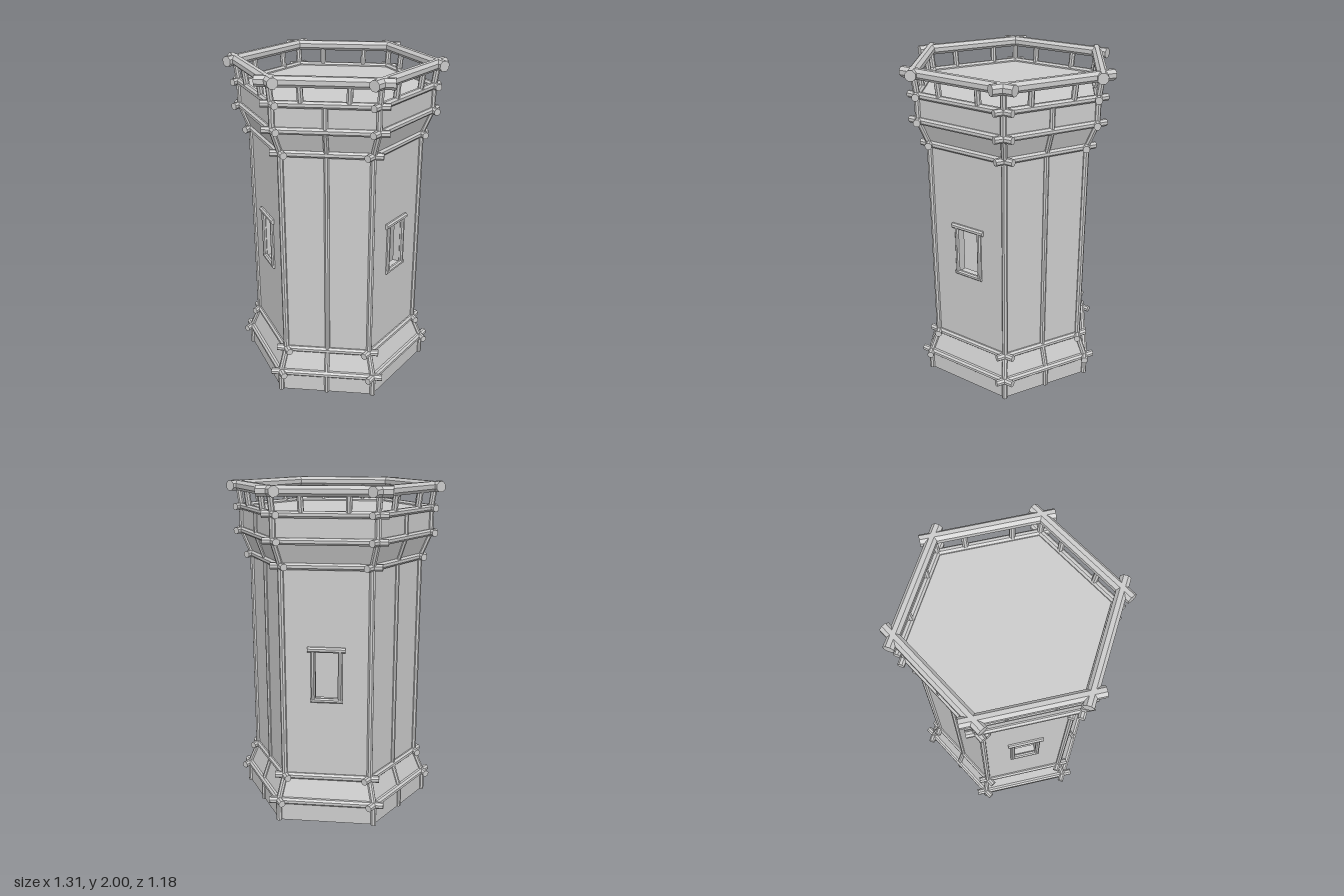
import * as THREE from 'three';

const mat = new THREE.MeshStandardMaterial({ color: 0xcccccc, flatShading: true });
const COS30 = Math.cos(Math.PI / 6);

// [height, corner radius] of each tier of the tower
const PROFILE = [[0, 0.575], [0.13, 0.575], [0.275, 0.515], [1.555, 0.515], [1.70, 0.575], [1.845, 0.575], [1.97, 0.592]];
const WALL_T = 0.05;

function add(parent, geometry, name) {
  const mesh = new THREE.Mesh(geometry, mat);
  mesh.name = name;
  parent.add(mesh);
  return mesh;
}

// Eight-sided timber running from a to b
function beam(parent, a, b, r, name) {
  const dir = b.clone().sub(a);
  const g = new THREE.CylinderGeometry(r, r, dir.length(), 8);
  g.rotateY(Math.PI / 8);
  const mesh = add(parent, g, name);
  mesh.position.copy(a).add(b).multiplyScalar(0.5);
  mesh.quaternion.setFromUnitVectors(new THREE.Vector3(0, 1, 0), dir.normalize());
}

// Point on a side's outer face; u runs from -1 to 1 between its corners
const onSide = ([y, R], u) => new THREE.Vector3(u * R / 2, y, R * COS30);

// Solid hexagonal tier between two profile rows
function tier(parent, [y0, r0], [y1, r1], name) {
  const g = new THREE.CylinderGeometry(r1, r0, y1 - y0, 6);
  g.rotateY(Math.PI / 6);
  add(parent, g, name).position.y = (y0 + y1) / 2;
}

// Shaft wall panel, optionally pierced by a window
function wall(side, hasWindow) {
  const [y0, R] = PROFILE[2], y1 = PROFILE[3][0], w = R / 2;
  const shape = new THREE.Shape([[-w, y0], [w, y0], [w, y1], [-w, y1]].map(p => new THREE.Vector2(...p)));
  if (hasWindow) {
    shape.holes.push(new THREE.Path([[-0.07, 0.77], [-0.07, 1.07], [0.07, 1.07], [0.07, 0.77]].map(p => new THREE.Vector2(...p))));
  }
  const g = new THREE.ExtrudeGeometry(shape, { depth: WALL_T, bevelEnabled: false });
  add(side, g, 'shaftWall').position.z = R * COS30 - WALL_T;
}

// Timber window frame
function windowFrame(side) {
  const frame = new THREE.Group();
  frame.name = 'windowFrame';
  frame.position.z = PROFILE[2][1] * COS30 + 0.003;
  const v = (x, y) => new THREE.Vector3(x, y, 0);
  for (const s of [-1, 1]) beam(frame, v(s * 0.079, 0.765), v(s * 0.079, 1.075), 0.014, 'windowJamb');
  beam(frame, v(-0.11, 1.075), v(0.11, 1.075), 0.017, 'windowLintel');
  beam(frame, v(-0.094, 0.767), v(0.094, 0.767), 0.015, 'windowSill');
  side.add(frame);
}

export function createModel() {
  const tower = new THREE.Group();
  tower.name = 'tower';
  const body = new THREE.Group();
  body.name = 'body';
  body.position.z = 0.01;
  tower.add(body);

  tier(body, PROFILE[0], PROFILE[1], 'plinth');
  tier(body, PROFILE[1], PROFILE[2], 'taperedFoot');
  tier(body, PROFILE[3], PROFILE[4], 'flaredCollar');
  tier(body, PROFILE[4], PROFILE[5], 'topDeck');

  for (let i = 0; i < 6; i++) {
    const side = new THREE.Group();
    side.name = 'side';
    side.rotation.y = i * Math.PI / 3;
    body.add(side);

    // Windows and middle posts alternate around the tower
    const hasWindow = i % 2 === 0;
    wall(side, hasWindow);
    if (hasWindow) windowFrame(side);

    // Posts follow the tiers
    for (let k = 0; k < PROFILE.length - 1; k++) {
      const a = PROFILE[k], b = PROFILE[k + 1];
      beam(side, onSide(a, 1), onSide(b, 1), 0.018, 'cornerPost');
      if (!hasWindow && k < 5) beam(side, onSide(a, 0), onSide(b, 0), 0.016, 'middlePost');
    }

    // Horizontal rails, crossing past the corners
    for (let k = 1; k < PROFILE.length; k++) {
      const top = k === PROFILE.length - 1;
      const end = onSide(PROFILE[k], 1);
      end.x += top ? 0.072 : 0.058;
      const start = end.clone();
      start.x *= -1;
      beam(side, start, end, top ? 0.032 : 0.021, top ? 'handRail' : 'bandRail');
    }

    // Balusters under the hand rail
    for (const u of [-0.45, 0.45]) beam(side, onSide(PROFILE[5], u), onSide(PROFILE[6], u), 0.018, 'baluster');
  }
  return tower;
}
